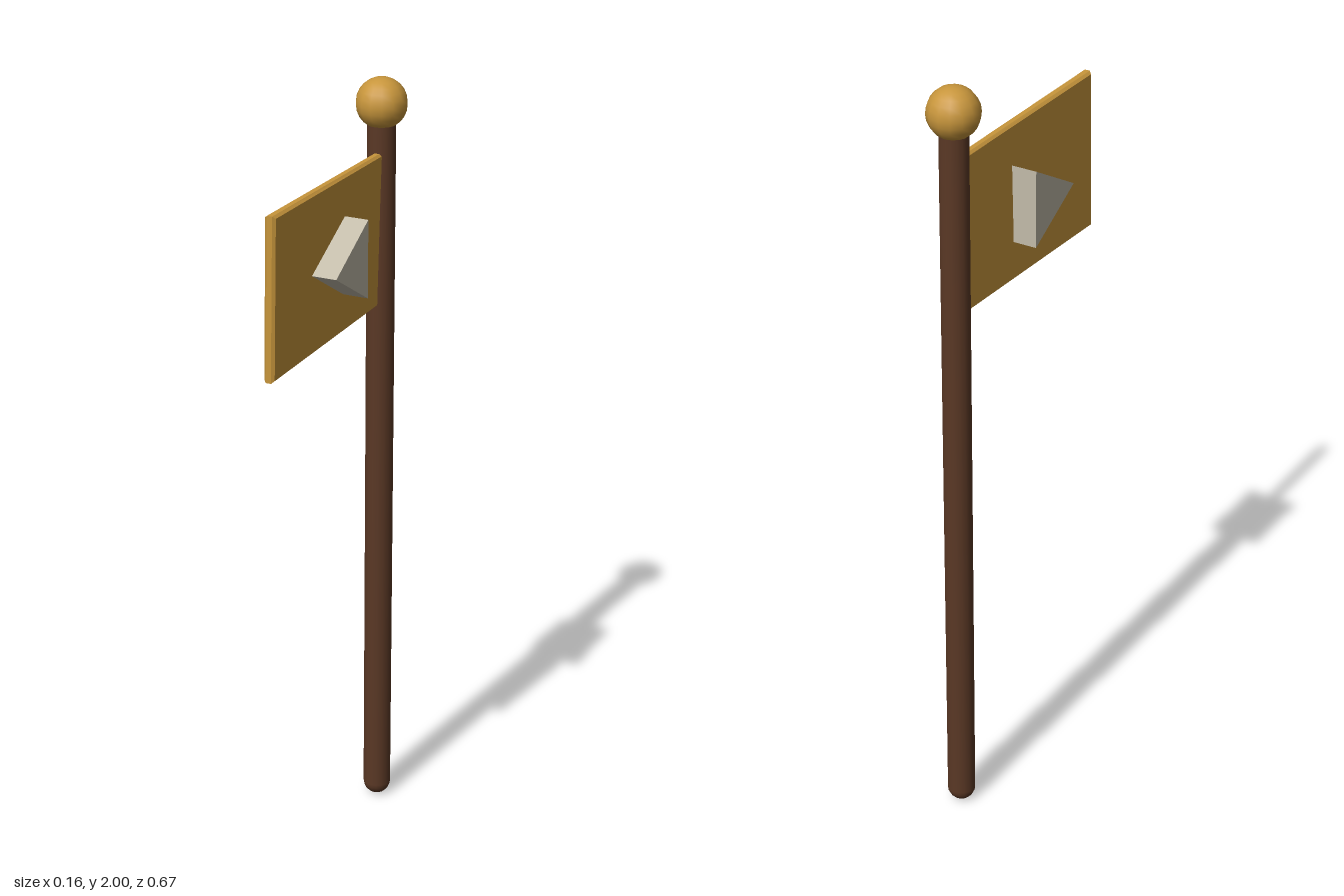
import * as THREE from 'three';

const POLE_Z = -0.272;

function part(name, geometry, color, flatShading = false) {
  const material = new THREE.MeshStandardMaterial({ color, flatShading });
  const mesh = new THREE.Mesh(geometry, material);
  mesh.name = name;
  return mesh;
}

// Extrudes a (z, y) outline along x, centred on x = 0
function extrudeAlongX(points, depth, bevel = 0) {
  const shape = new THREE.Shape(points.map(([z, y]) => new THREE.Vector2(-z, y)));
  const geometry = new THREE.ExtrudeGeometry(shape, {
    depth, bevelEnabled: bevel > 0, bevelThickness: bevel, bevelSize: bevel, bevelOffset: -bevel, bevelSegments: 1,
  });
  return geometry.translate(0, 0, -depth / 2).rotateY(Math.PI / 2);
}

export function createModel() {
  const group = new THREE.Group();
  group.name = 'flagpole';

  // Pole with a rounded foot
  const r = 0.036;
  const profile = [];
  for (let i = 0; i <= 5; i++) {
    const a = (i / 5) * Math.PI / 2;
    profile.push(new THREE.Vector2(r * Math.sin(a), r * (1 - Math.cos(a)) + 0.003));
  }
  profile.push(new THREE.Vector2(r, 1.9), new THREE.Vector2(0, 1.9));
  const pole = part('pole', new THREE.LatheGeometry(profile, 16), 0x5a3825);
  pole.position.z = POLE_Z;
  group.add(pole);

  // Ball on top
  const ball = part('finial', new THREE.SphereGeometry(0.065, 14, 12), 0xc8963c);
  ball.rotation.y = Math.PI / 2;
  ball.position.set(0, 1.935, POLE_Z);
  group.add(ball);

  // Thin bevelled flag, leaning slightly and thickening towards its free end
  const flagGeometry = extrudeAlongX(
    [[POLE_Z, 1.416], [0.33, 1.409], [0.334, 1.823], [POLE_Z, 1.815]], 0.012, 0.006);
  const p = flagGeometry.attributes.position;
  for (let i = 0; i < p.count; i++) {
    const free = (p.getZ(i) - POLE_Z) / 0.6;
    p.setX(i, p.getX(i) * (1 + 0.15 * free) + (p.getY(i) - 1.615) * 0.022);
  }
  flagGeometry.computeVertexNormals();
  group.add(part('flag', flagGeometry, 0xc8963c, true));

  // Triangular emblem block passing through the flag
  group.add(part('emblem', extrudeAlongX(
    [[0.136, 1.617], [-0.038, 1.715], [-0.038, 1.515]], 0.155), 0xc2bba9, true));

  return group;
}
